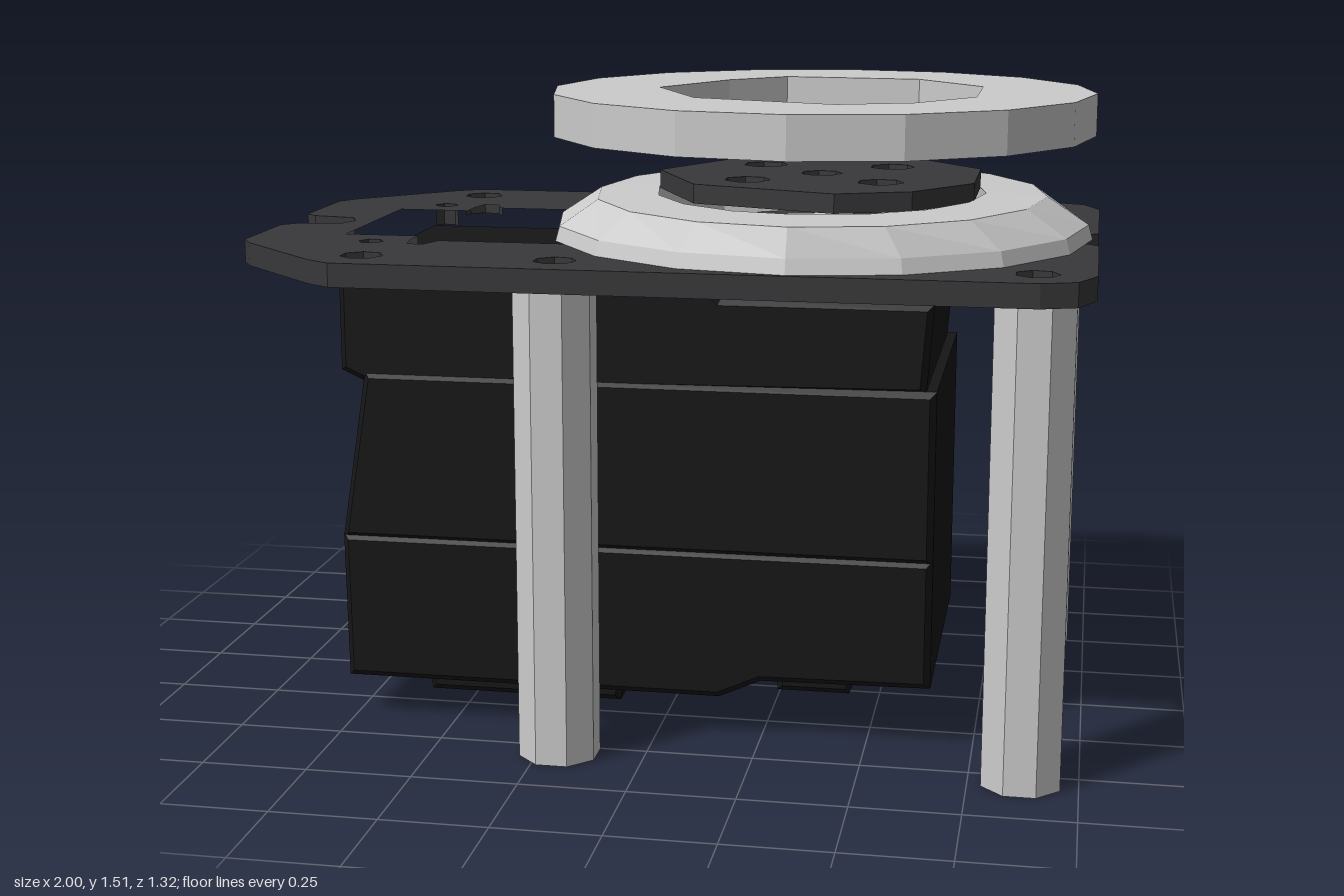
import * as THREE from 'three';

const mat = (color) => new THREE.MeshStandardMaterial({ color, flatShading: true });
const grey = mat(0xcccccc), plateMat = mat(0x38383a), black = mat(0x161616);
const CX = 0.335; // axis of the turntable

const pts = (list) => list.map(([x, y]) => new THREE.Vector2(x, y));
const circle = (x, z, r, n = 8, turn = 0) => pts(Array.from({ length: n }, (_, i) => {
  const a = turn + (i / n) * Math.PI * 2;
  return [x + r * Math.cos(a), z + r * Math.sin(a)];
}));

// Horizontal slab: outline drawn in (x, z), spanning y0..y1
function slab(outline, holes, y0, y1) {
  const shape = new THREE.Shape(outline);
  holes.forEach((h) => shape.holes.push(new THREE.Path(h)));
  const g = new THREE.ExtrudeGeometry(shape, { depth: y1 - y0, bevelEnabled: false });
  return g.rotateX(Math.PI / 2).translate(0, y1, 0);
}

// Outline symmetric about z = 0, from its z >= 0 half
const mirrored = (half) => pts([...half, ...half.slice().reverse()
  .filter(([, z]) => z !== 0).map(([x, z]) => [x, -z])]);

export function createModel() {
  const model = new THREE.Group();
  const add = (name, geometry, material) => {
    const mesh = new THREE.Mesh(geometry, material);
    mesh.name = name;
    model.add(mesh);
    return mesh;
  };

  // Mounting plate with end notches, motor opening and screw holes
  const plateOutline = mirrored([
    [-0.84, 0], [-0.86, 0.05], [-0.97, 0.07], [-1, 0.1], [-1, 0.35], [-0.97, 0.4],
    [-0.75, 0.62], [-0.69, 0.66], [0.88, 0.66], [0.96, 0.63], [1, 0.54],
    [1, 0.1], [0.97, 0.07], [0.87, 0.05], [0.85, 0],
  ]);
  const motorOpening = mirrored([
    [-0.79, 0.225], [-0.61, 0.225], [-0.61, 0.29], [-0.6, 0.35], [-0.56, 0.35], [-0.54, 0.29], [0.68, 0.29],
  ]);
  const plateHoles = [motorOpening];
  for (const s of [-1, 1]) {
    for (const x of [-0.65, -0.2, 0.87]) plateHoles.push(circle(x, s * 0.535, 0.05, 7));
    plateHoles.push(circle(-0.695, s * 0.325, 0.03, 6));
  }
  add('mountingPlate', slab(plateOutline, plateHoles, 1.11, 1.165), plateMat);

  // Hollow standoffs
  for (const x of [-0.2, 0.87]) {
    for (const s of [-1, 1]) {
      const post = slab(circle(x, s * 0.54, 0.096, 8, Math.PI / 8), [circle(x, s * 0.54, 0.05, 6)], 0, 1.11);
      add('standoff', post, grey);
    }
  }

  // Motor case: side profile extruded across z, top tier slightly narrower
  const profile = (list, halfWidth) => new THREE.ExtrudeGeometry(new THREE.Shape(pts(list)), {
    depth: halfWidth * 2 - 0.03, bevelEnabled: true, bevelSegments: 1,
    bevelSize: 0.015, bevelThickness: 0.015, bevelOffset: -0.015,
  }).translate(0, 0, 0.015 - halfWidth);
  add('motorLowerCase', profile([
    [-0.765, 0.1], [0.15, 0.1], [0.25, 0.145], [0.65, 0.15], [0.65, 0.46], [-0.77, 0.46],
  ], 0.385), black);
  add('motorMiddleCase', profile([
    [-0.77, 0.45], [0.65, 0.45], [0.65, 0.86], [-0.705, 0.86],
  ], 0.385), black);
  add('motorUpperCase', profile([
    [-0.765, 0.86], [-0.7, 0.83], [0.625, 0.85], [0.64, 1.06], [0.15, 1.06], [0.1, 1.105], [-0.74, 1.105], [-0.765, 1.08],
  ], 0.375), black);

  // Raised pad and pivot boss under the motor
  add('motorBasePad', profile([
    [-0.6, 0.12], [-0.585, 0.04], [-0.11, 0.04], [-0.09, 0.12],
  ], 0.285), black);
  add('pivotBoss', profile([
    [0.25, 0.16], [0.25, 0.02], [0.43, 0.02], [0.49, 0.16],
  ], 0.09), black);

  // Output hub between the motor and the turntable
  const hub = add('outputHub', new THREE.CylinderGeometry(0.29, 0.19, 0.12, 10), grey);
  hub.position.set(CX, 1.115, 0);

  // Lower ring: outer rim leans inward towards the two ends of the plate
  const ringGeo = new THREE.LatheGeometry(pts([
    [0.4, 1.165], [0.65, 1.165], [0.64, 1.2], [0.615, 1.265], [0.45, 1.27], [0.4, 1.165],
  ]), 16);
  const p = ringGeo.attributes.position;
  for (let i = 0; i < p.count; i++) {
    const x = p.getX(i), y = p.getY(i);
    if (y > 1.22) p.setX(i, x * 0.88);
  }
  add('lowerRing', ringGeo, grey).position.x = CX;

  // Turntable disc with five holes
  const octagon = pts([
    [-0.06, 0], [0.07, -0.25], [0.2, -0.38], [0.54, -0.35], [0.71, -0.15],
    [0.71, 0.14], [0.58, 0.32], [0.41, 0.39], [0.07, 0.27],
  ]);
  const discHoles = [circle(CX, 0, 0.05, 7)];
  for (const sx of [-1, 1]) {
    for (const sz of [-1, 1]) discHoles.push(circle(CX + sx * 0.157, sz * 0.157, 0.055, 7));
  }
  add('turntableDisc', slab(octagon, discHoles, 1.265, 1.31), plateMat);

  // Upper ring floating above the disc
  add('upperRing', slab(circle(CX, 0, 0.65, 16), [octagon], 1.41, 1.51), grey);

  return model;
}
